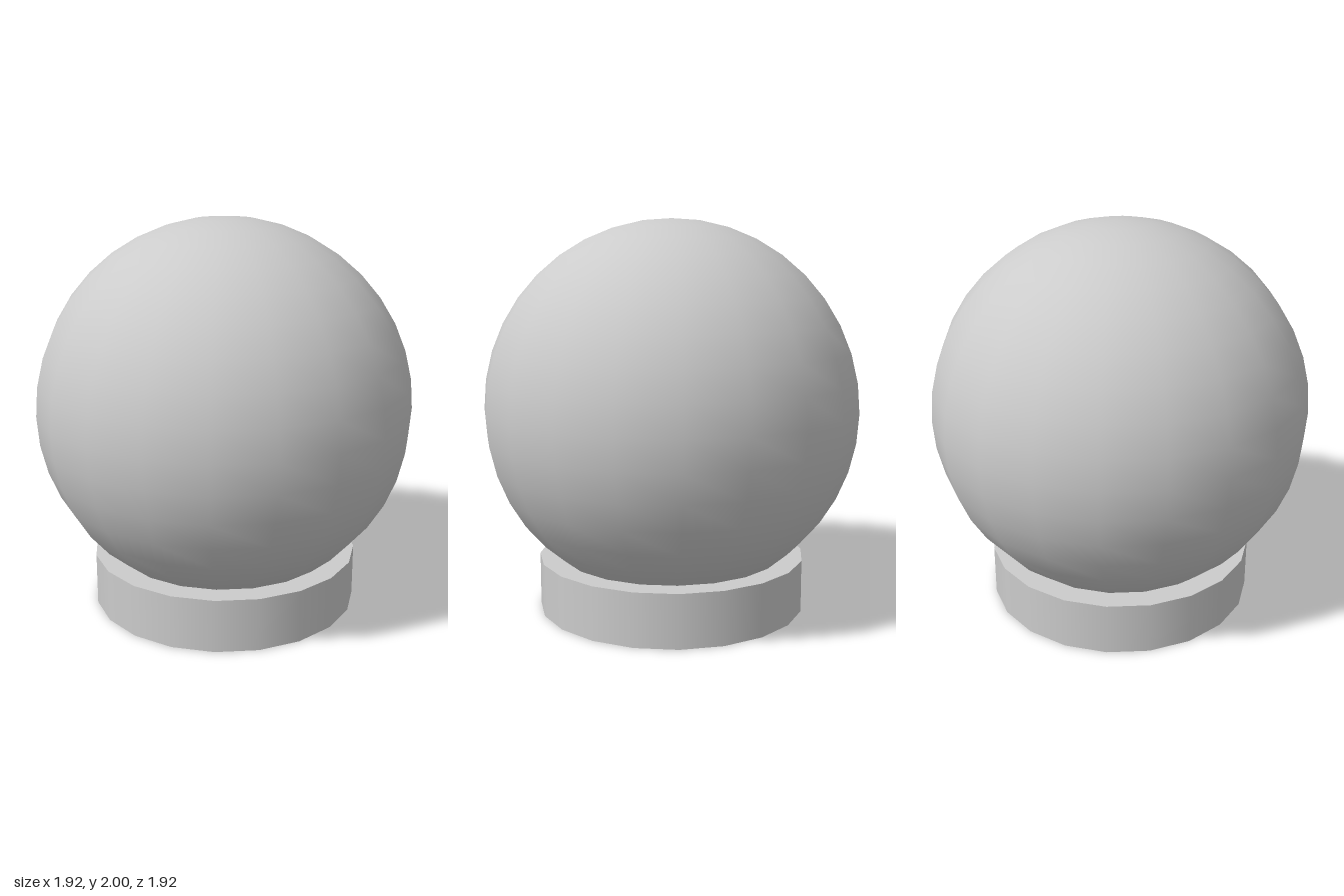
import * as THREE from 'three';

const SEGMENTS = 20;
const GLOBE_RADIUS = 0.96;
const BASE_RADIUS = 0.69;
const BASE_HEIGHT = 0.27;

export function createModel() {
  const model = new THREE.Group();
  model.name = 'globeOnBase';
  const material = new THREE.MeshStandardMaterial({ color: 0xcccccc });

  const addPart = (name, geometry, y) => {
    const mesh = new THREE.Mesh(geometry, material);
    mesh.name = name;
    mesh.position.y = y;
    model.add(mesh);
  };

  // Round disc the globe is sunk into
  addPart('base', new THREE.CylinderGeometry(BASE_RADIUS, BASE_RADIUS, BASE_HEIGHT, SEGMENTS), BASE_HEIGHT / 2);

  // Large smooth ball, its top at y = 2
  addPart('globe', new THREE.SphereGeometry(GLOBE_RADIUS, SEGMENTS, SEGMENTS), 2 - GLOBE_RADIUS);

  return model;
}
